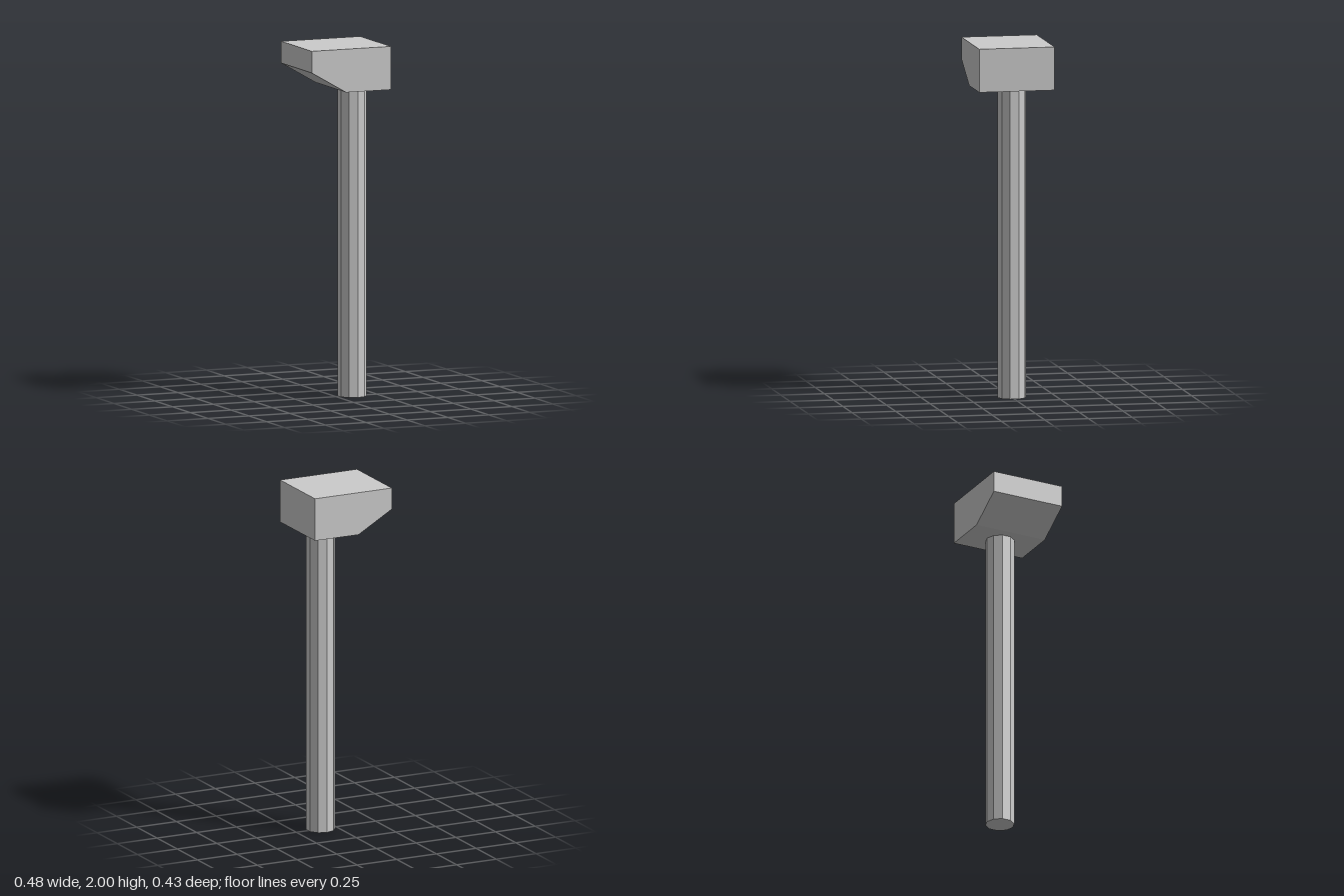
import * as THREE from 'three';

export function createModel() {
  const model = new THREE.Group();
  const material = new THREE.MeshStandardMaterial({ color: 0xcccccc, flatShading: true });
  const add = (name, geometry, x, y, z) => {
    const mesh = new THREE.Mesh(geometry, material);
    mesh.name = name;
    mesh.position.set(x, y, z);
    model.add(mesh);
  };

  // ten-sided shaft, set off centre under the head
  const headBottom = 1.755;
  add('shaft', new THREE.CylinderGeometry(0.082, 0.082, headBottom, 10), 0.098, headBottom / 2, 0);

  // block head with a sloped underside at one end
  const depth = 0.432;
  const profile = new THREE.Shape([
    new THREE.Vector2(-0.242, 2),
    new THREE.Vector2(-0.242, 1.877),
    new THREE.Vector2(-0.032, headBottom),
    new THREE.Vector2(0.242, headBottom),
    new THREE.Vector2(0.242, 2),
  ]);
  add('head', new THREE.ExtrudeGeometry(profile, { depth, bevelEnabled: false }), 0, 0, -depth / 2);

  return model;
}
